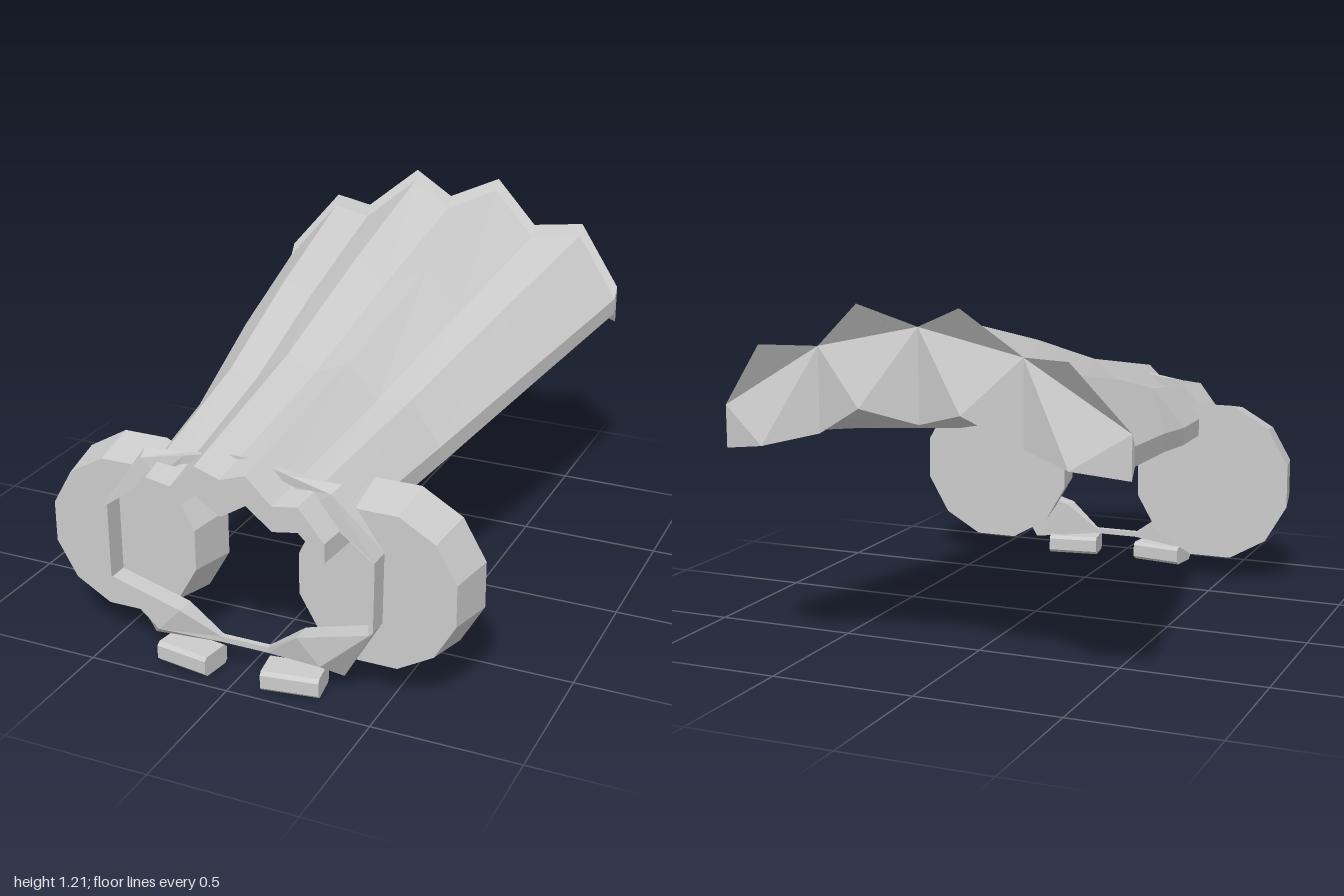
import * as THREE from 'three';

const material = new THREE.MeshStandardMaterial({ color: 0xcccccc, flatShading: true });

// Builds a geometry from a flat list of triangle corners
function fromCorners(pos) {
  const g = new THREE.BufferGeometry();
  g.setAttribute('position', new THREE.Float32BufferAttribute(pos.flat(), 3));
  g.computeVertexNormals();
  return g;
}

// Triangle corners of a skin over equal-length rings of [x, y, z] points
function skin(rings, loop) {
  const pos = [];
  const n = rings[0].length;
  const spans = loop ? rings.length : rings.length - 1;
  for (let i = 0; i < spans; i++) {
    const r = rings[i], s = rings[(i + 1) % rings.length];
    for (let j = 0; j < n; j++) {
      const k = (j + 1) % n;
      pos.push(r[j], s[j], s[k], r[j], s[k], r[k]);
    }
  }
  return pos;
}

function addMesh(parent, name, geometry) {
  const mesh = new THREE.Mesh(geometry, material);
  mesh.name = name;
  parent.add(mesh);
  return mesh;
}

// Pleated fan, narrow in front and flared behind; columns run from centre to edge
function fanGeometry() {
  const front = { x: [0, 0.087, 0.175, 0.262, 0.35], top: [0.745, 0.775, 0.69, 0.705, 0.6], low: [0.62, 0.675, 0.605, 0.62, 0.535] };
  const back = {
    x: [0, 0.17, 0.345, 0.515, 0.685], top: [1.1, 1.17, 1.025, 1.03, 0.82], low: [0.88, 0.93, 0.83, 0.79, 0.76],
    z: [-0.905, -0.975, -0.905, -0.975, -0.905],
  };
  const mix = THREE.MathUtils.lerp;
  // t: position along the fan, sag: dip of the section, rim: flare of the end lip
  const section = (t, sag, rim) => {
    const point = (k, side, edge) => [
      side * (mix(front.x[k], back.x[k], t) - sag * 0.8 * k / 4),
      mix(front[edge][k], back[edge][k], t) - sag + (edge === 'top' ? rim : -rim),
      mix(1, back.z[k], t) - rim * 0.65,
    ];
    const cols = [4, 3, 2, 1, 0, -1, -2, -3, -4];
    const top = cols.map(c => point(Math.abs(c), Math.sign(c), 'top'));
    const low = cols.map(c => point(Math.abs(c), Math.sign(c), 'low')).reverse();
    return [...top, ...low];
  };
  const rings = [section(0, 0, 0), section(0.36, 0.025, 0), section(0.67, 0.004, 0), section(1, 0, 0), section(1, 0, 0.04)];
  const pos = skin(rings, false);

  // Front cap
  const f = rings[0], e = rings[4];
  for (let j = 0; j < 8; j++) pos.push(f[j], f[j + 1], f[16 - j], f[j], f[16 - j], f[17 - j]);
  // Back cap: set-in wall between the valleys, with the peaks of the lip standing out
  for (let j = 0; j < 8; j += 2) {
    const a = e[j], peak = e[j + 1], b = e[j + 2];
    const lowA = e[17 - j], lowPeak = e[16 - j], lowB = e[15 - j];
    pos.push(a, b, peak, a, lowPeak, b, a, lowA, lowPeak, b, lowPeak, lowB);
  }
  return fromCorners(pos);
}

// Open collar ring: outer x, y, inner x, y, front z, back z, inset of the front outer edge
function collarGeometry() {
  const half = [
    [0.085, 0.09, 0.085, 0.11, 0.87, 0.85, 0],
    [0.345, 0.055, 0.21, 0.2, 0.915, 0.845, 0.4],
    [0.475, 0.28, 0.46, 0.27, 0.92, 0.845, 0],
    [0.48, 0.525, 0.46, 0.535, 0.92, 0.845, 0],
    [0.345, 0.735, 0.27, 0.67, 0.91, 0.86, 0.2],
    [0.18, 0.75, 0.2, 0.715, 0.895, 0.865, 0],
    [0.05, 0.775, 0.05, 0.755, 0.88, 0.87, 0],
  ];
  const ring = (s, side) => {
    const [ox, oy, ix, iy, zf, zb, inset] = s;
    const fx = ox + (ix - ox) * inset, fy = oy + (iy - oy) * inset;
    return [[side * ix, iy, zf], [side * ix, iy, zb], [side * ox, oy, zb], [side * fx, fy, zf]];
  };
  return fromCorners(skin([...half.map(s => ring(s, 1)), ...half.slice().reverse().map(s => ring(s, -1))], true));
}

// Flat foot bar with chamfered long edges
function footGeometry() {
  const w = 0.06, h = 0.035, c = 0.012;
  const outline = [[-w + c, -h], [w - c, -h], [w, -h + c], [w, h - c], [w - c, h], [-w + c, h], [-w, h - c], [-w, -h + c]];
  const shape = new THREE.Shape(outline.map(p => new THREE.Vector2(...p)));
  const g = new THREE.ExtrudeGeometry(shape, { depth: 0.195, bevelEnabled: false });
  g.translate(0, 0, -0.0975);
  return g.rotateY(Math.PI / 2);
}

export function createModel() {
  const model = new THREE.Group();
  model.name = 'pleatedFanModel';

  addMesh(model, 'pleatedFan', fanGeometry());
  addMesh(model, 'collar', collarGeometry());

  // Tapered twelve-sided discs, wider at the back
  const disc = new THREE.CylinderGeometry(0.275, 0.308, 0.17, 12);
  disc.rotateY(Math.PI / 12).rotateX(Math.PI / 2);
  const foot = footGeometry();

  for (const [side, label] of [[1, 'left'], [-1, 'right']]) {
    addMesh(model, label + 'Disc', disc).position.set(side * 0.452, 0.388, 0.755);
    // Feet turn slightly outwards
    const bar = addMesh(model, label + 'Foot', foot);
    bar.position.set(side * 0.187, 0.035, 0.885);
    bar.rotation.y = side * 0.15;
  }
  return model;
}
